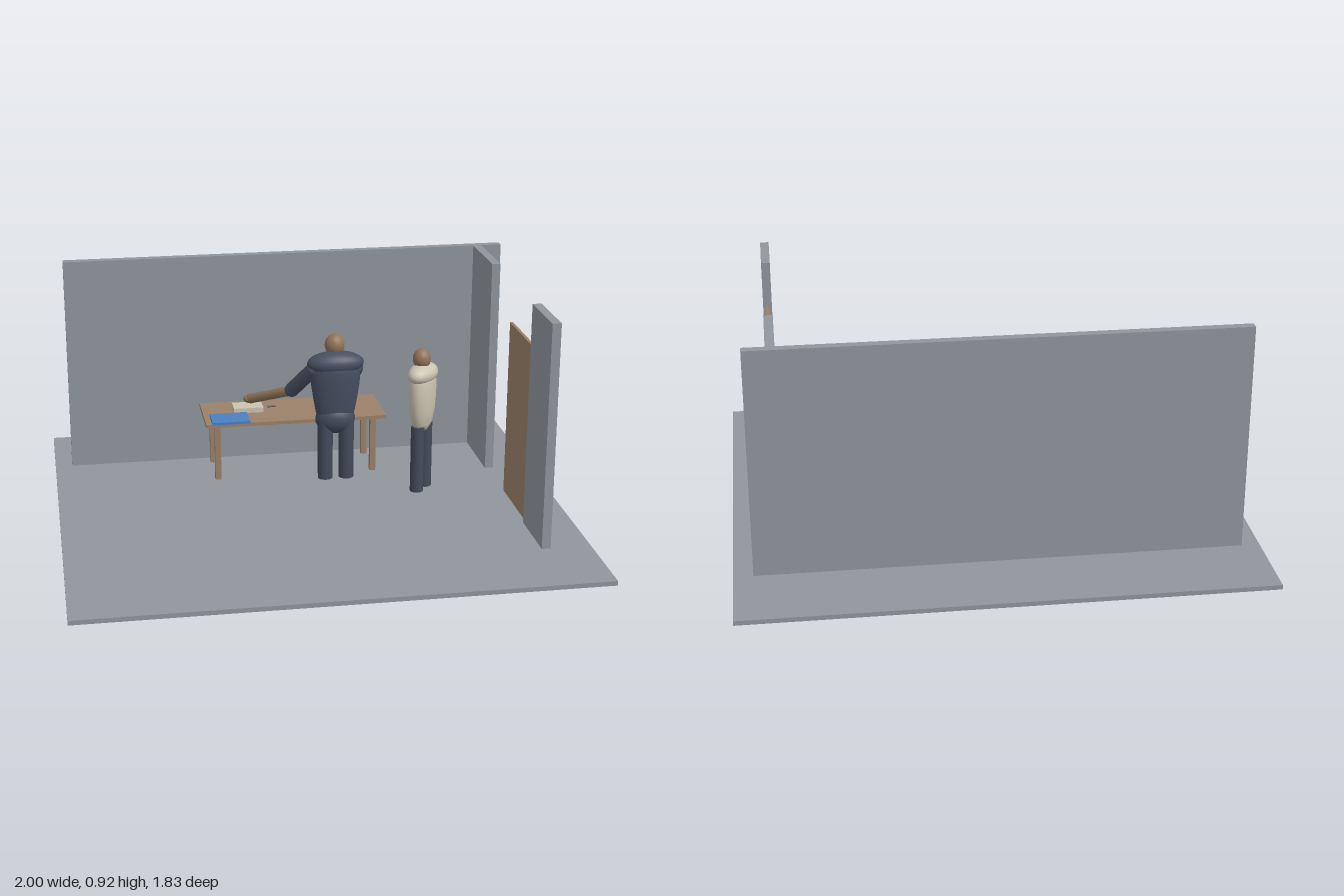
import * as THREE from 'three';

const mat = (name, color) => {
  const m = new THREE.MeshStandardMaterial({ color });
  m.name = name;
  return m;
};

export function createModel() {
  const grey = mat('plaster grey', 0x90969d);
  const wood = mat('wood', 0x9b816a);
  const skin = mat('skin', 0x927459);
  const navy = mat('navy cloth', 0x464e60);
  const trousers = mat('dark trousers', 0x434a5b);
  const cream = mat('cream', 0xcbc4b1);
  const blue = mat('blue', 0x4b80c3);
  const metal = mat('dark metal', 0x5a5d62);

  const model = new THREE.Group();
  model.name = 'officeScene';

  const add = (parent, name, geometry, material, x = 0, y = 0, z = 0) => {
    const mesh = new THREE.Mesh(geometry, material);
    mesh.name = name;
    mesh.position.set(x, y, z);
    parent.add(mesh);
    return mesh;
  };
  // Box given by its minimum and maximum on each axis
  const box = (parent, name, material, x0, x1, y0, y1, z0, z1) =>
    add(parent, name, new THREE.BoxGeometry(x1 - x0, y1 - y0, z1 - z0), material,
      (x0 + x1) / 2, (y0 + y1) / 2, (z0 + z1) / 2);
  const ellipsoid = (parent, name, material, x, y, z, rx, ry, rz) =>
    add(parent, name, new THREE.SphereGeometry(1, 20, 14).scale(rx, ry, rz), material, x, y, z);
  // Round-ended limb between two points
  const limb = (parent, name, material, from, to, r) => {
    const a = new THREE.Vector3(...from), b = new THREE.Vector3(...to);
    const d = b.clone().sub(a);
    const mesh = add(parent, name, new THREE.CapsuleGeometry(r, d.length(), 5, 14), material);
    mesh.position.copy(a).add(b).multiplyScalar(0.5);
    mesh.quaternion.setFromUnitVectors(new THREE.Vector3(0, 1, 0), d.normalize());
    return mesh;
  };
  // Lathed torso, flattened front to back
  const torso = (parent, material, profile, depth) =>
    add(parent, 'torso', new THREE.LatheGeometry(
      profile.map(([r, y]) => new THREE.Vector2(r, y)), 20).scale(1, 1, depth), material);

  // Room
  box(model, 'floor', grey, -1, 1, 0, 0.018, -0.915, 0.915);
  box(model, 'backWall', grey, -0.93, 0.925, 0.018, 0.915, -0.598, -0.563);
  box(model, 'sideWallBack', grey, 0.805, 0.84, 0.018, 0.915, -0.563, -0.253);
  box(model, 'sideWallFront', grey, 0.805, 0.84, 0.018, 0.915, 0.335, 0.595);
  box(model, 'door', wood, 0.817, 0.829, 0.018, 0.742, 0, 0.305);

  // Table and the things on it
  const table = new THREE.Group();
  table.name = 'table';
  model.add(table);
  box(table, 'tableTop', wood, -0.38, 0.377, 0.258, 0.273, -0.553, -0.28);
  for (const x of [-0.33, 0.327])
    for (const z of [-0.515, -0.318])
      box(table, 'tableLeg', wood, x - 0.012, x + 0.012, 0.018, 0.258, z - 0.012, z + 0.012);
  box(table, 'blueFolder', blue, -0.355, -0.198, 0.273, 0.284, -0.383, -0.27);
  box(table, 'paperStack', cream, -0.25, -0.125, 0.273, 0.294, -0.48, -0.4);
  const pen = add(table, 'pen', new THREE.CylinderGeometry(0.004, 0.004, 0.035, 8).rotateZ(Math.PI / 2),
    metal, -0.085, 0.284, -0.437);
  pen.rotation.y = 0.2;

  // Person leaning to the table
  const clerk = new THREE.Group();
  clerk.name = 'personAtTable';
  clerk.position.set(0.143, 0, -0.185);
  model.add(clerk);
  for (const x of [-0.043, 0.045])
    add(clerk, 'leg', new THREE.CylinderGeometry(0.032, 0.031, 0.25, 16), trousers, x, 0.178, 0.01);
  ellipsoid(clerk, 'hips', trousers, 0, 0.308, 0, 0.083, 0.063, 0.055);
  torso(clerk, navy, [[0, 0.29], [0.07, 0.3], [0.082, 0.345], [0.092, 0.4], [0.101, 0.46],
    [0.103, 0.51], [0.096, 0.55], [0.07, 0.585], [0, 0.6]], 0.54);
  ellipsoid(clerk, 'shoulders', navy, 0, 0.547, 0, 0.118, 0.05, 0.058);
  ellipsoid(clerk, 'head', skin, 0, 0.618, -0.022, 0.041, 0.045, 0.038);
  limb(model, 'rightUpperArm', navy, [0.05, 0.52, -0.19], [-0.025, 0.413, -0.265], 0.03);
  limb(model, 'rightForearm', skin, [-0.025, 0.41, -0.265], [-0.175, 0.328, -0.425], 0.021);
  ellipsoid(model, 'rightHand', skin, -0.18, 0.325, -0.433, 0.026, 0.018, 0.024);
  limb(model, 'leftUpperArm', navy, [0.23, 0.52, -0.19], [0.198, 0.41, -0.262], 0.029);
  limb(model, 'leftForearm', skin, [0.195, 0.405, -0.268], [0.16, 0.305, -0.308], 0.021);

  // Person standing beside, turned towards the door
  const visitor = new THREE.Group();
  visitor.name = 'standingPerson';
  visitor.position.set(0.468, 0, -0.013);
  visitor.rotation.y = 0.88;
  model.add(visitor);
  for (const x of [-0.036, 0.036])
    add(visitor, 'leg', new THREE.CylinderGeometry(0.027, 0.027, 0.277, 16), trousers, x, 0.187, 0);
  torso(visitor, cream, [[0, 0.295], [0.035, 0.305], [0.058, 0.335], [0.072, 0.39], [0.078, 0.45],
    [0.077, 0.51], [0.065, 0.55], [0, 0.575]], 0.62);
  ellipsoid(visitor, 'shoulders', cream, 0, 0.542, 0, 0.09, 0.042, 0.052);
  ellipsoid(visitor, 'head', skin, 0, 0.602, -0.006, 0.037, 0.043, 0.036);

  return model;
}
